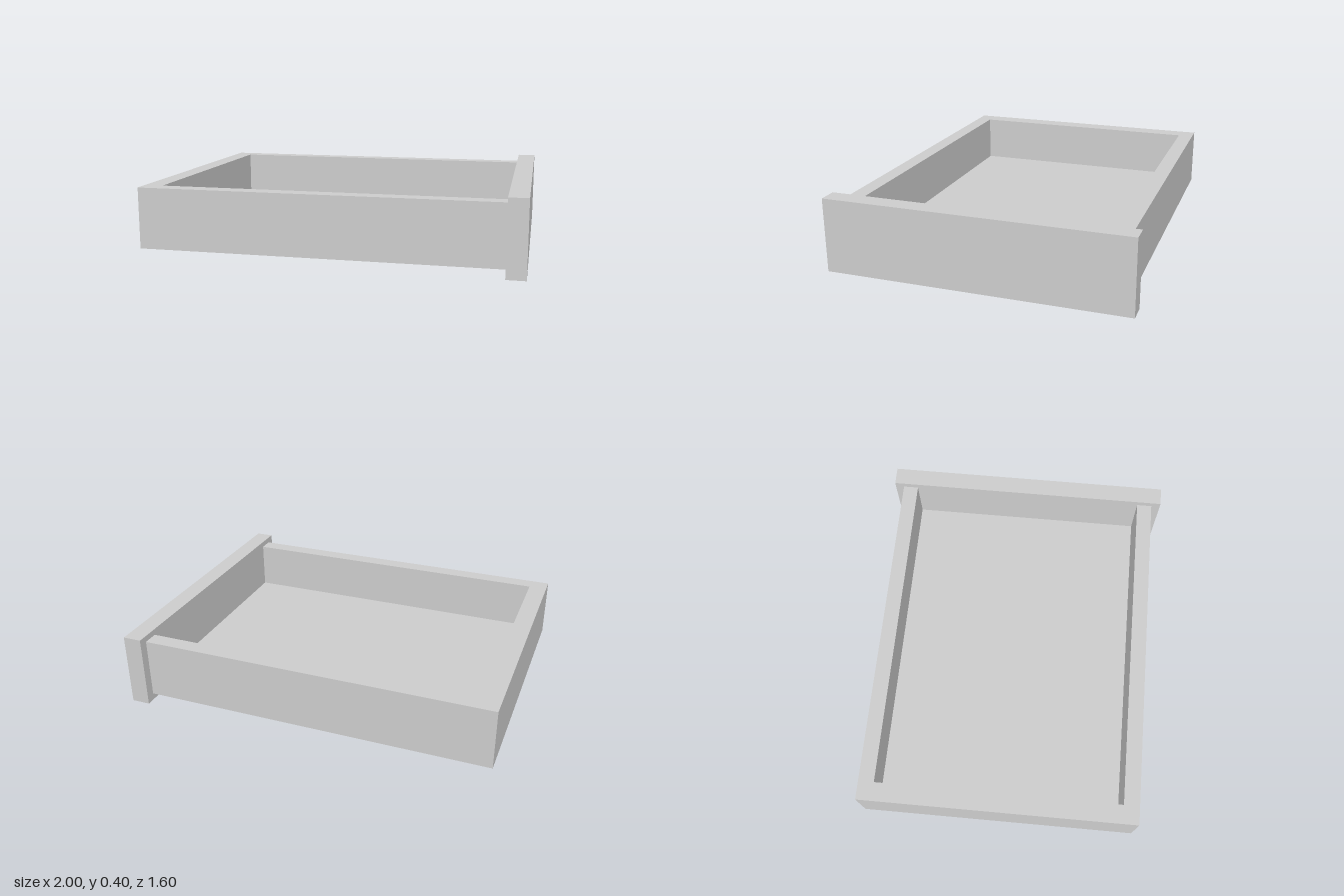
import * as THREE from 'three';

const material = new THREE.MeshStandardMaterial({ color: 0xcccccc });

// Box given by its minimum and maximum corners
function box(name, [x0, y0, z0], [x1, y1, z1]) {
  const mesh = new THREE.Mesh(new THREE.BoxGeometry(x1 - x0, y1 - y0, z1 - z0), material);
  mesh.position.set((x0 + x1) / 2, (y0 + y1) / 2, (z0 + z1) / 2);
  mesh.name = name;
  return mesh;
}

export function createModel() {
  const group = new THREE.Group();
  group.name = 'drawer';

  const panelX = 0.9, outerZ = 0.75, innerZ = 0.665;
  const bottom = 0.037, floorTop = 0.097, rim = 0.363;

  // Tray floor
  group.add(box('floor', [-1, bottom, -outerZ], [panelX, floorTop, outerZ]));

  // Long side walls and the end wall between them
  group.add(box('sideWallFront', [-1, floorTop, innerZ], [panelX, rim, outerZ]));
  group.add(box('sideWallBack', [-1, floorTop, -outerZ], [panelX, rim, -innerZ]));
  group.add(box('endWall', [-1, floorTop, -innerZ], [-0.9, rim, innerZ]));

  // Overhanging face panel
  group.add(box('facePanel', [panelX, 0, -0.8], [1, 0.396, 0.8]));

  return group;
}
